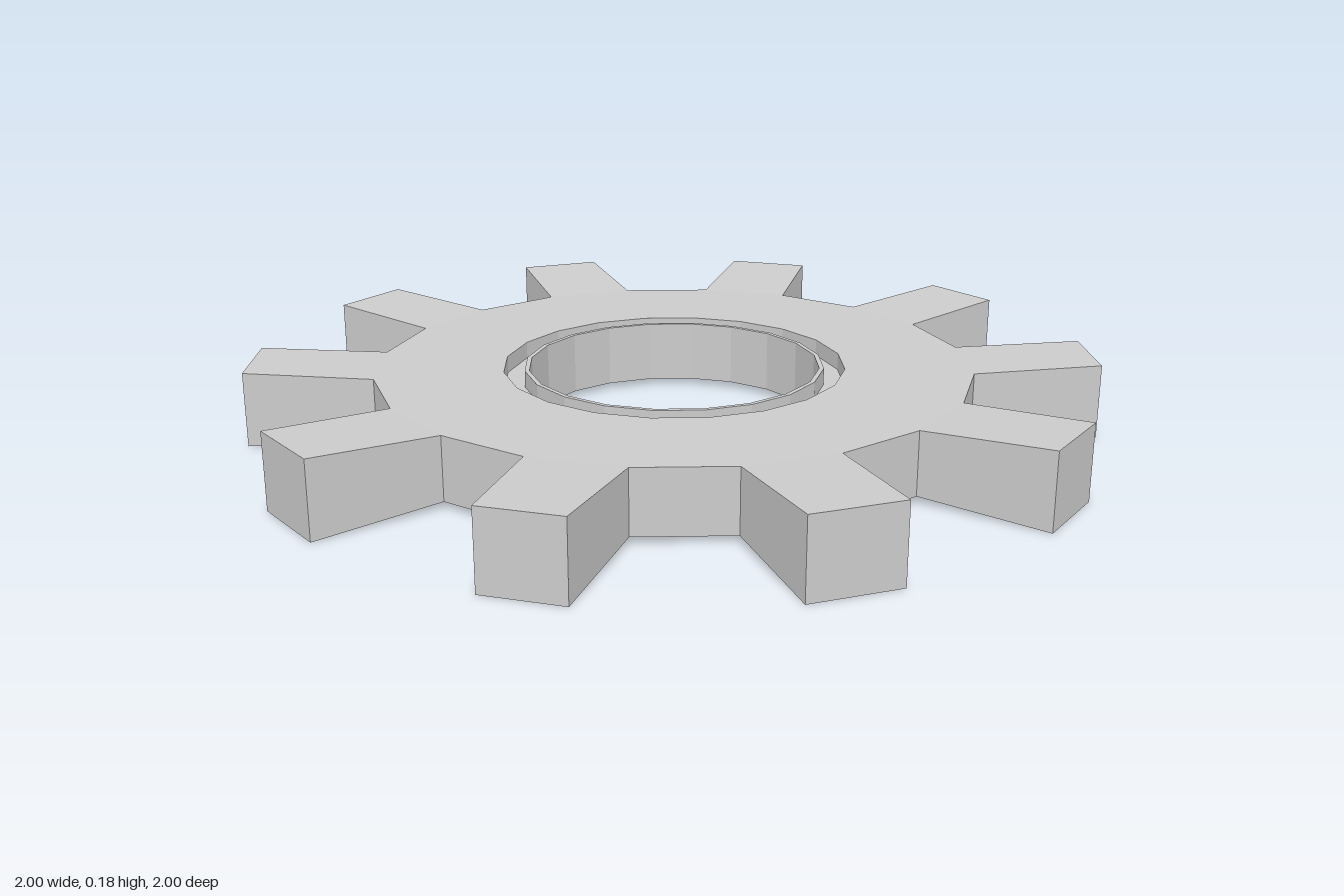
import * as THREE from 'three';

const TEETH = 10, SIDES = 20;
const BODY_R = 0.705, TIP_R = 0.997;
const HEIGHT = 0.178, BODY_LOW = 0.015, BODY_HIGH = 0.163;

// Tapered block: root matches one side of the body, tip is taller and slightly narrower
function toothGeometry(tipHalfWidth) {
  const geo = new THREE.BoxGeometry(2, 2, 2);
  const rootR = BODY_R * Math.cos(Math.PI / SIDES);
  const rootHalfWidth = BODY_R * Math.sin(Math.PI / SIDES);
  const p = geo.attributes.position;
  for (let i = 0; i < p.count; i++) {
    const tip = p.getX(i) > 0, up = p.getY(i) > 0, side = Math.sign(p.getZ(i));
    p.setXYZ(i,
      tip ? TIP_R : rootR,
      tip ? (up ? HEIGHT : 0) : (up ? BODY_HIGH : BODY_LOW),
      side * (tip ? tipHalfWidth : rootHalfWidth));
  }
  geo.computeVertexNormals();
  return geo;
}

export function createModel() {
  const model = new THREE.Group();
  model.name = 'gear';
  const material = new THREE.MeshStandardMaterial({ color: 0xcccccc, flatShading: true });

  // Gear body with a groove around the bore on both faces
  const groove = 0.04;
  const profile = [
    [BODY_R, BODY_LOW], [BODY_R, BODY_HIGH],
    [0.405, BODY_HIGH], [0.405, BODY_HIGH - groove],
    [0.356, BODY_HIGH - groove], [0.356, BODY_HIGH],
    [0.345, BODY_HIGH], [0.345, BODY_LOW],
    [0.356, BODY_LOW], [0.356, BODY_LOW + groove],
    [0.405, BODY_LOW + groove], [0.405, BODY_LOW],
    [BODY_R, BODY_LOW],
  ].map(([r, y]) => new THREE.Vector2(r, y));
  const body = new THREE.Mesh(new THREE.LatheGeometry(profile, SIDES), material);
  body.name = 'gearBody';
  model.add(body);

  // Teeth on every second side of the body; one has a slightly narrower tip
  const regular = toothGeometry(0.1035), narrow = toothGeometry(0.092);
  for (let i = 0; i < TEETH; i++) {
    const tooth = new THREE.Mesh(i === 7 ? narrow : regular, material);
    tooth.name = `tooth${i + 1}`;
    tooth.rotation.y = Math.PI / SIDES + (i * 2 * Math.PI) / TEETH;
    model.add(tooth);
  }
  return model;
}
